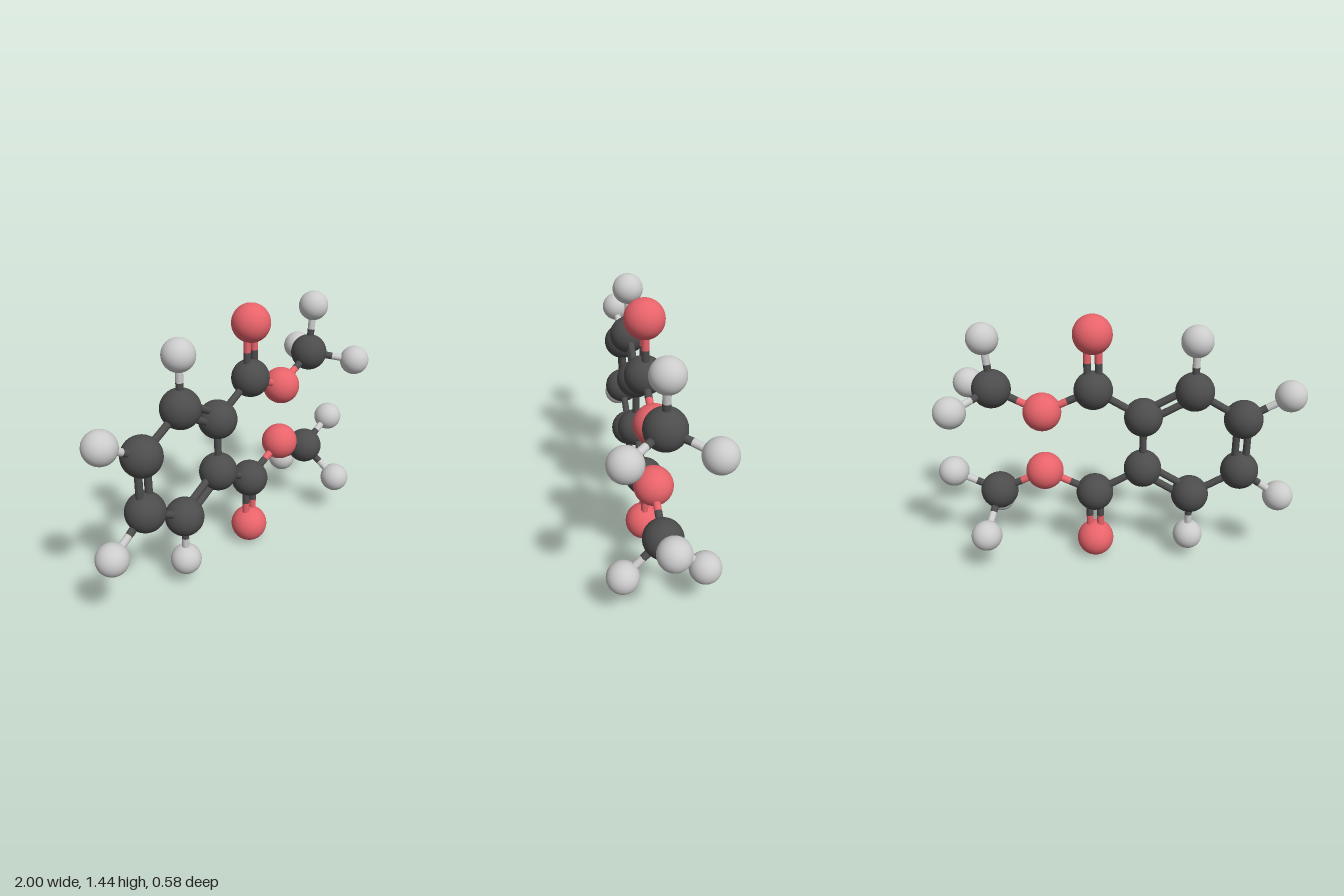
import * as THREE from 'three';

const ELEMENTS = {
  carbon: { radius: 0.104, color: 0x4c4c4c },
  oxygen: { radius: 0.104, color: 0xe8636a },
  hydrogen: { radius: 0.084, color: 0xcccccc },
};
const BOND_RADIUS = 0.02;
const DOUBLE_OFFSET = 0.03;

export function createModel() {
  const model = new THREE.Group();
  model.name = 'ballAndStickMolecule';

  const kinds = {};
  for (const [name, { radius, color }] of Object.entries(ELEMENTS)) {
    kinds[name] = {
      material: new THREE.MeshStandardMaterial({ color }),
      ball: new THREE.SphereGeometry(radius, 40, 28),
    };
  }

  function atom(kind, name, x, y, z = 0) {
    const mesh = new THREE.Mesh(kinds[kind].ball, kinds[kind].material);
    mesh.name = name;
    mesh.position.set(x, y, z);
    model.add(mesh);
    return { kind, position: mesh.position };
  }

  // Half of a stick, from one point to another, in the colour of its atom
  function halfStick(from, to, kind) {
    const dir = to.clone().sub(from);
    const geometry = new THREE.CylinderGeometry(BOND_RADIUS, BOND_RADIUS, dir.length(), 20, 1, true);
    const mesh = new THREE.Mesh(geometry, kinds[kind].material);
    mesh.name = kind + 'HalfBond';
    mesh.position.copy(from).add(to).multiplyScalar(0.5);
    mesh.quaternion.setFromUnitVectors(new THREE.Vector3(0, 1, 0), dir.normalize());
    return mesh;
  }

  // Two-tone bond; a double bond has two parallel sticks in the molecule's plane
  function bond(a, b, order = 1) {
    const group = new THREE.Group();
    group.name = order === 2 ? 'doubleBond' : 'singleBond';
    const dir = b.position.clone().sub(a.position).normalize();
    const side = new THREE.Vector3(-dir.y, dir.x, 0).normalize();
    for (const offset of order === 2 ? [-DOUBLE_OFFSET, DOUBLE_OFFSET] : [0]) {
      const start = a.position.clone().addScaledVector(side, offset);
      const end = b.position.clone().addScaledVector(side, offset);
      const middle = start.clone().lerp(end, 0.5);
      group.add(halfStick(start, middle, a.kind), halfStick(middle, end, b.kind));
    }
    model.add(group);
  }

  // Six-sided ring with alternating double bonds
  const ring = [
    [-0.147, 0.885], [-0.414, 1.037], [-0.68, 0.883],
    [-0.68, 0.575], [-0.414, 0.417], [-0.147, 0.575],
  ].map(([x, y]) => atom('carbon', 'ringCarbon', x, y));
  ring.forEach((a, i) => bond(a, ring[(i + 1) % 6], i % 2 === 0 ? 2 : 1));

  // Hydrogens around the ring
  [[-0.414, 1.312], [-0.916, 1.021], [-0.906, 0.417], [-0.414, 0.146]].forEach(([x, y], i) => {
    bond(ring[i + 1], atom('hydrogen', 'ringHydrogen', x, y));
  });

  // Side chain: carbon, double-bonded oxygen, linking oxygen and end group
  function sideChain(ringAtom, y, doubleY, linkY, hydrogens) {
    const carbon = atom('carbon', 'chainCarbon', 0.12, y);
    const oxygen = atom('oxygen', 'doubleBondedOxygen', 0.12, doubleY);
    const link = atom('oxygen', 'linkingOxygen', 0.398, linkY);
    const end = atom('carbon', 'endCarbon', 0.662, y);
    bond(ringAtom, carbon);
    bond(carbon, oxygen, 2);
    bond(carbon, link);
    bond(link, end);
    for (const h of hydrogens) bond(end, atom('hydrogen', 'endHydrogen', ...h));
  }
  sideChain(ring[0], 1.037, 1.342, 0.907,
    [[0.687, 1.312], [0.838, 0.987, 0.207], [0.838, 0.987, -0.207]]);
  sideChain(ring[5], 0.417, 0.108, 0.548,
    [[0.912, 0.533], [0.708, 0.243, 0.207], [0.708, 0.243, -0.207]]);

  // Rest the lowest ball on the ground
  model.children.forEach((part) => { part.position.y -= 0.004; });
  return model;
}
